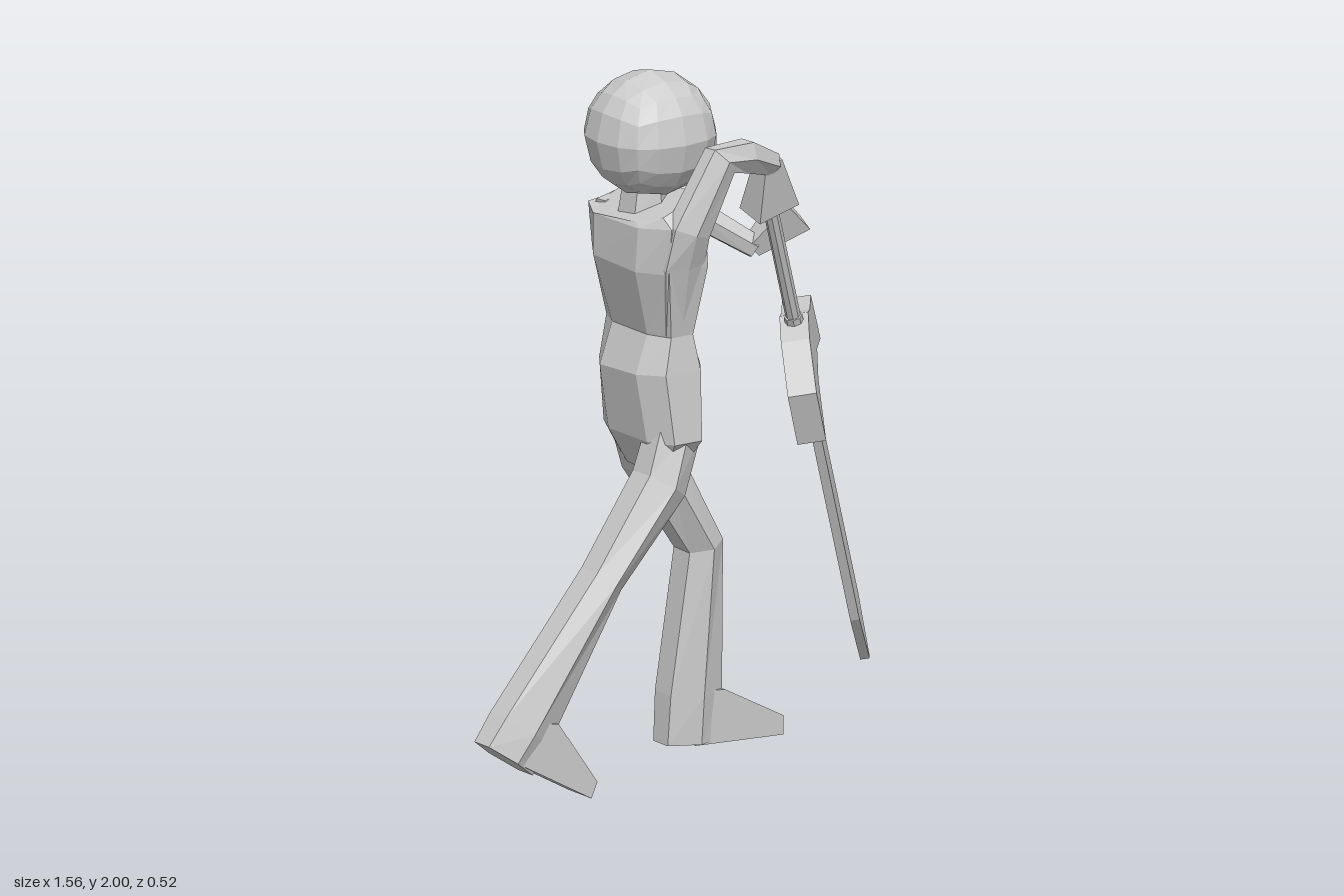
import * as THREE from 'three';

const V3 = (x, y, z) => new THREE.Vector3(x, y, z);
const material = new THREE.MeshStandardMaterial({ color: 0xcccccc, flatShading: true, side: THREE.DoubleSide });

function part(name, geometry) {
  const mesh = new THREE.Mesh(geometry, material);
  mesh.name = name;
  return mesh;
}

// Faceted tube through rows of [x, y, z, halfWidth, halfDepth]; a power below 1 makes it boxier
function limb(rows, sides = 6, power = 1) {
  const centers = rows.map(r => V3(r[0], r[1], r[2]));
  const last = rows.length - 1;
  const grow = Math.cos(Math.PI / sides) ** -power;
  const bend = c => Math.sign(c) * Math.abs(c) ** power * grow;
  const rings = rows.map((r, k) => {
    const t = centers[Math.min(k + 1, last)].clone().sub(centers[Math.max(k - 1, 0)]).normalize();
    const v = V3(0, 0, 1).addScaledVector(t, -t.z).normalize();
    const u = v.clone().cross(t);
    return Array.from({ length: sides }, (_, i) => {
      const a = (i + 0.5) * 2 * Math.PI / sides;
      return centers[k].clone()
        .addScaledVector(u, bend(Math.cos(a)) * r[3])
        .addScaledVector(v, bend(Math.sin(a)) * r[4]);
    });
  });
  const pts = [];
  for (let i = 0; i < sides; i++) {
    const j = (i + 1) % sides;
    for (let k = 0; k < last; k++) {
      const [a, b, c, d] = [rings[k][i], rings[k][j], rings[k + 1][j], rings[k + 1][i]];
      pts.push(a, b, c, a, c, d);
    }
    pts.push(centers[0], rings[0][j], rings[0][i]);
    pts.push(centers[last], rings[last][i], rings[last][j]);
  }
  const geometry = new THREE.BufferGeometry().setFromPoints(pts);
  geometry.computeVertexNormals();
  return geometry;
}

// Flat outline given thickness, centred on the given z
function plate(outline, thickness, z = 0) {
  const shape = new THREE.Shape(outline.map(p => new THREE.Vector2(...p)));
  return new THREE.ExtrudeGeometry(shape, { depth: thickness, bevelEnabled: false })
    .translate(0, 0, z - thickness / 2);
}

// Ball head made from a rounded cube, with one row drawn out as nose and jaw
function headGeometry() {
  const geometry = new THREE.BoxGeometry(2, 2, 2, 4, 4, 4);
  const pos = geometry.attributes.position;
  const p = V3();
  for (let i = 0; i < pos.count; i++) {
    p.fromBufferAttribute(pos, i);
    const onJaw = p.x > 0.99 && Math.abs(p.y + 0.5) < 0.01;
    const push = onJaw ? 0.05 * (1 - Math.abs(p.z)) : 0;
    p.normalize();
    p.multiplyScalar(0.179 * (1 + 0.2 * (p.x * p.z) ** 2));
    pos.setXYZ(i, p.x + push, p.y, p.z * 0.96);
  }
  geometry.computeVertexNormals();
  return geometry.translate(-0.142, 1.821, 0.022);
}

// Sword in its own frame: x across the blade, y from grip to tip
function sword() {
  const group = new THREE.Group();
  group.name = 'sword';
  group.add(
    part('swordGrip', new THREE.CylinderGeometry(0.021, 0.021, 0.46, 8).translate(0, -0.2, 0)),
    part('swordCollar', new THREE.CylinderGeometry(0.026, 0.026, 0.03, 8).translate(0, -0.005, 0)),
    part('swordGuard', plate([[-0.09, 0], [0.03, 0], [0.1, 0.045], [0.215, 0.085], [0.228, 0.25],
      [0.07, 0.16], [-0.08, 0.15], [-0.23, 0.25], [-0.22, 0.09]], 0.08)),
    part('swordBlade', plate([[-0.062, 0.1], [0.062, 0.1], [0.062, 1.01],
      [0.008, 1.19], [-0.008, 1.19], [-0.062, 1.01]], 0.026))
  );
  const along = V3(0.41, -1.07, -0.25).normalize();
  const across = V3(0.51, 0.36, -0.78);
  across.addScaledVector(along, -across.dot(along)).normalize();
  group.quaternion.setFromRotationMatrix(
    new THREE.Matrix4().makeBasis(across, along, across.clone().cross(along)));
  group.position.set(0.35, 1.2, 0.01);
  return group;
}

export function createModel() {
  const model = new THREE.Group();
  model.name = 'swordsman';

  // Head and trunk
  model.add(
    part('head', headGeometry()),
    part('neck', limb([[-0.155, 1.58, 0.015, 0.065, 0.07], [-0.15, 1.7, 0.015, 0.05, 0.06]])),
    part('torso', limb([
      [-0.14, 0.87, 0.02, 0.04, 0.1], [-0.135, 0.97, 0.025, 0.085, 0.17],
      [-0.14, 1.16, 0.018, 0.108, 0.16], [-0.135, 1.27, 0.01, 0.068, 0.155],
      [-0.14, 1.47, 0.018, 0.12, 0.185], [-0.15, 1.6, 0.018, 0.107, 0.2],
      [-0.16, 1.625, 0.015, 0.09, 0.17]], 8, 0.7))
  );

  // Trailing and leading legs; each leg ends in the heel
  model.add(
    part('backLeg', limb([
      [-0.13, 1.0, 0.12, 0.07, 0.06], [-0.185, 0.85, 0.125, 0.07, 0.07],
      [-0.38, 0.61, 0.128, 0.05, 0.066], [-0.652, 0.222, 0.122, 0.088, 0.066],
      [-0.705, 0.147, 0.122, 0.09, 0.06]])),
    part('backFoot', plate([[-0.7, 0.145], [-0.45, 0.005], [-0.43, 0.05], [-0.56, 0.235], [-0.65, 0.25]], 0.11, 0.125)),
    part('frontLeg', limb([
      [-0.13, 1.0, -0.06, 0.07, 0.06], [-0.085, 0.87, -0.065, 0.07, 0.07],
      [0.088, 0.59, -0.075, 0.057, 0.066], [0.064, 0.17, -0.088, 0.086, 0.066],
      [0.06, 0.03, -0.088, 0.09, 0.06]])),
    part('frontFoot', plate([[0.05, 0.025], [0.345, 0.01], [0.345, 0.065], [0.15, 0.17], [0.06, 0.18]], 0.112, -0.09))
  );

  // Raised arm and lowered arm, each with a flared hand
  model.add(
    part('raisedArm', limb([
      [-0.135, 1.28, 0.14, 0.045, 0.02], [-0.15, 1.48, 0.185, 0.065, 0.03],
      [-0.145, 1.58, 0.207, 0.06, 0.04], [-0.045, 1.77, 0.217, 0.05, 0.038],
      [0.06, 1.758, 0.185, 0.044, 0.038], [0.175, 1.71, 0.145, 0.032, 0.032]])),
    part('raisedHand', limb([[0.165, 1.725, 0.15, 0.028, 0.026], [0.207, 1.57, 0.095, 0.068, 0.046]], 4)),
    part('loweredArm', limb([
      [-0.19, 1.56, -0.14, 0.04, 0.03], [-0.08, 1.572, -0.156, 0.045, 0.035],
      [0.07, 1.545, -0.128, 0.04, 0.038], [0.245, 1.42, -0.025, 0.03, 0.028]])),
    part('loweredHand', limb([[0.235, 1.42, -0.03, 0.022, 0.024], [0.34, 1.52, 0.022, 0.055, 0.042]], 4))
  );

  model.add(sword());
  return model;
}
